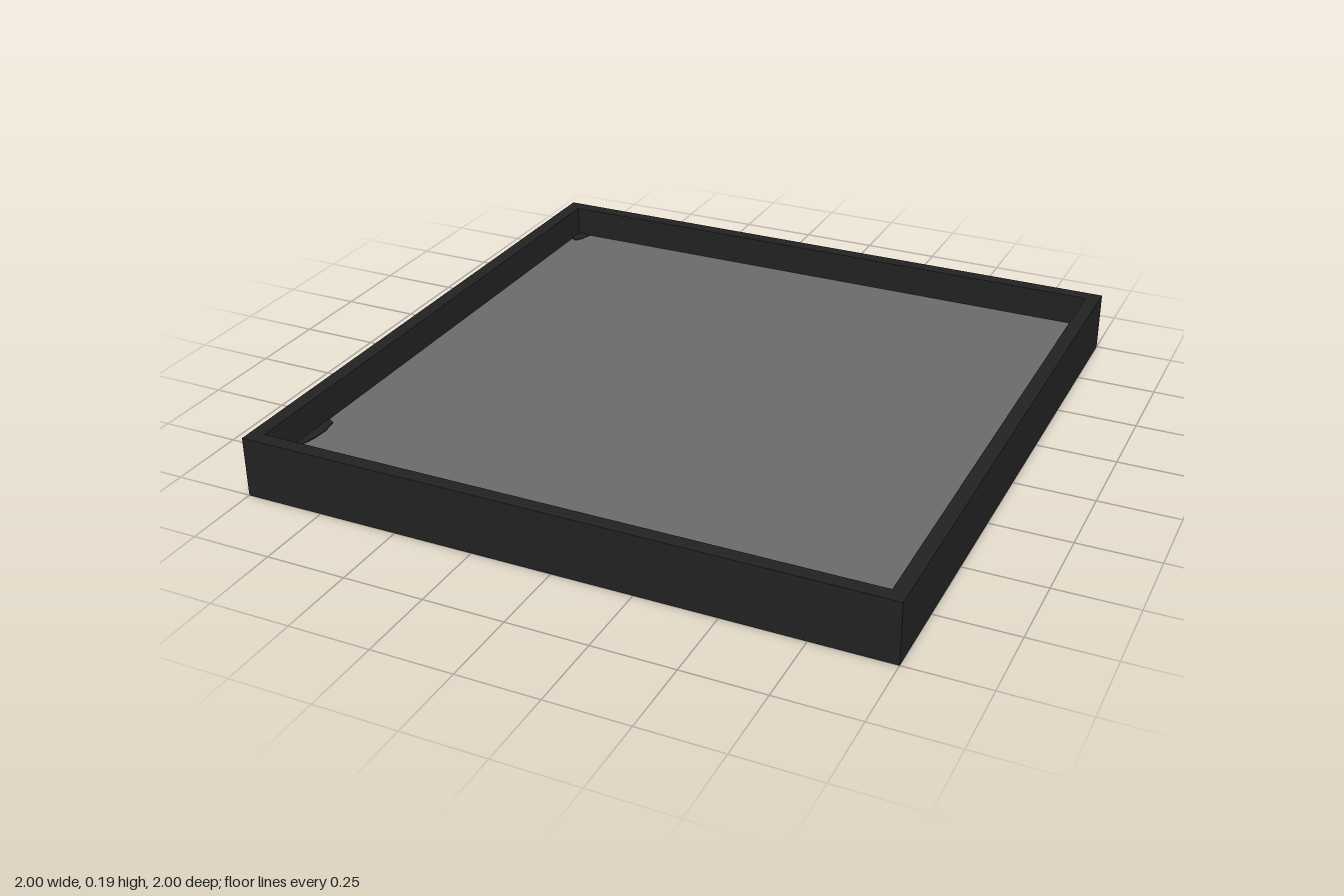
import * as THREE from 'three';

const HEIGHT = 0.19, INNER = 0.955, FLOOR = 0.09;

export function createModel() {
  const model = new THREE.Group();
  model.name = 'tray';
  const black = new THREE.MeshStandardMaterial({ name: 'black', color: 0x222222 });
  const grey = new THREE.MeshStandardMaterial({ name: 'grey', color: 0x6a6a6a });

  const add = (name, geometry, material, y) => {
    const mesh = new THREE.Mesh(geometry, material);
    mesh.name = name;
    mesh.position.y = y;
    model.add(mesh);
  };
  // Plan outlines are [x, z] corners; extrusions rise along y
  const outline = (points) => points.map(([x, z]) => new THREE.Vector2(x, -z));
  const square = (r) => outline([[-r, r], [r, r], [r, -r], [-r, -r]]);
  const rise = (shape, depth) =>
    new THREE.ExtrudeGeometry(shape, { depth, bevelEnabled: false }).rotateX(-Math.PI / 2);

  // Upright rim around the edge
  const rim = new THREE.Shape(square(1));
  rim.holes.push(new THREE.Path(square(INNER).reverse()));
  add('rim', rise(rim, HEIGHT), black, 0);

  // Base slab closing the underside, with the grey floor on it
  add('base', rise(new THREE.Shape(square(INNER)), FLOOR - 0.008), black, 0);
  add('floor', rise(new THREE.Shape(square(INNER)), 0.008), grey, FLOOR - 0.008);

  // Dark irregular patches along the right edge of the floor
  const patches = {
    backPatch: [[-0.955, -0.9], [-0.935, -0.89], [-0.92, -0.91], [-0.91, -0.955], [-0.955, -0.955]],
    frontPatch: [[-0.955, 0.92], [-0.943, 0.91], [-0.94, 0.83], [-0.925, 0.77], [-0.921, 0.72],
      [-0.93, 0.665], [-0.955, 0.65]],
  };
  for (const [name, points] of Object.entries(patches)) {
    add(name, rise(new THREE.Shape(outline(points)), 0.003), black, FLOOR);
  }
  return model;
}
